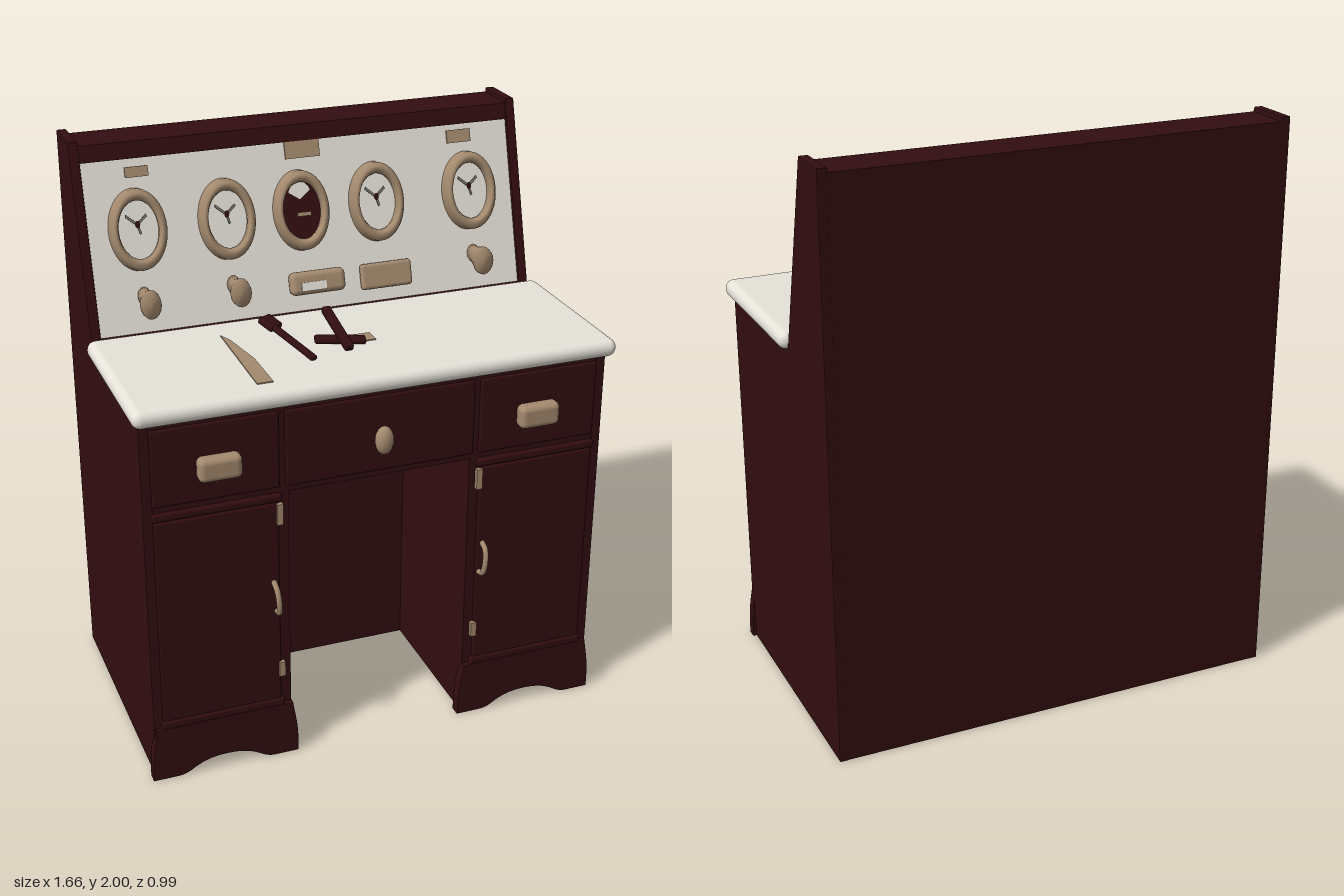
import * as THREE from 'three';
import { RoundedBoxGeometry } from 'three/addons/geometries/RoundedBoxGeometry.js';

const mat = (name, color, side = THREE.FrontSide) => {
  const m = new THREE.MeshStandardMaterial({ color, side });
  m.name = name;
  return m;
};

export function createModel() {
  const root = new THREE.Group();
  root.name = 'controlDesk';
  const wood = mat('dark red wood', 0x320d10);
  const cream = mat('cream enamel', 0xe6e2d9);
  const tan = mat('tan brass', 0xa48a6e);
  const grey = mat('grey marking', 0x77736c);

  const add = (parent, name, geo, material, x = 0, y = 0, z = 0) => {
    const m = new THREE.Mesh(geo, material);
    m.name = name;
    m.position.set(x, y, z);
    parent.add(m);
    return m;
  };
  // box given by its minimum and maximum corners
  const span = (name, material, x0, x1, y0, y1, z0, z1, r = 0) => {
    const s = [x1 - x0, y1 - y0, z1 - z0];
    const geo = r ? new RoundedBoxGeometry(...s, 4, r) : new THREE.BoxGeometry(...s);
    return add(root, name, geo, material, (x0 + x1) / 2, (y0 + y1) / 2, (z0 + z1) / 2);
  };
  const extrude = (shape, depth, bevel = 0) => new THREE.ExtrudeGeometry(shape, {
    depth, curveSegments: 10, bevelEnabled: bevel > 0,
    bevelThickness: bevel, bevelSize: bevel, bevelOffset: -bevel, bevelSegments: 2,
  });

  // Side walls: full height, sloping back above the worktop
  const profile = new THREE.Shape([
    [-0.45, 0], [0.49, 0], [0.49, 2], [0.325, 2], [0.135, 1.33], [-0.45, 1.33],
  ].map(([a, b]) => new THREE.Vector2(a, b)));
  for (const s of [-1, 1]) {
    const wall = add(root, 'sideWall', extrude(profile, 0.026, 0.004), wood, s * 0.789 - 0.013, 0, 0);
    wall.rotation.y = Math.PI / 2;
  }

  // Upper backing between the walls, topped by a rail
  const backing = new THREE.Shape([
    [0.49, 1.3], [0.49, 1.985], [0.325, 1.985], [0.312, 1.93], [0.328, 1.93], [0.145, 1.3],
  ].map(([a, b]) => new THREE.Vector2(a, b)));
  add(root, 'upperCabinet', extrude(backing, 1.55), wood, -0.775, 0, 0).rotation.y = Math.PI / 2;

  // Lower cabinet: back block, pedestals, drawer row
  span('backBlock', wood, -0.78, 0.78, 0.0, 1.33, -0.489, -0.46);
  span('cabinetCore', wood, -0.78, 0.78, 0.06, 1.33, -0.47, -0.12);
  span('kneeholeFoot', wood, -0.33, 0.33, 0.0, 0.07, -0.15, -0.12);
  span('drawerRow', wood, -0.78, 0.78, 1.01, 1.33, -0.13, 0.445);
  for (const [name, a, b] of [['leftDrawer', 0.35, 0.775], ['middleDrawer', -0.33, 0.33], ['rightDrawer', -0.775, -0.35]])
    span(name, wood, a, b, 1.03, 1.3, 0.43, 0.453, 0.008);

  for (const s of [-1, 1]) {
    const pair = (a, b) => (s > 0 ? [a, b] : [-b, -a]);
    span('pedestal', wood, ...pair(0.32, 0.78), 0.06, 1.02, -0.13, 0.445);
    span('pedestalInnerWall', wood, ...pair(0.32, 0.345), 0, 0.1, -0.13, 0.44);
    span('door', wood, ...pair(0.355, 0.775), 0.22, 0.975, 0.43, 0.453, 0.008);
    span('doorTopMoulding', wood, ...pair(0.345, 0.78), 0.98, 1.01, 0.43, 0.46, 0.01);
    span('doorBottomMoulding', wood, ...pair(0.345, 0.78), 0.19, 0.225, 0.43, 0.46, 0.01);

    // Plinth with flared ends and an arched lower edge
    const p = new THREE.Shape();
    p.moveTo(0.3, 0);
    p.lineTo(0.39, 0);
    p.bezierCurveTo(0.44, 0.0, 0.45, 0.05, 0.56, 0.05);
    p.bezierCurveTo(0.67, 0.05, 0.68, 0.0, 0.73, 0);
    p.lineTo(0.818, 0);
    p.bezierCurveTo(0.82, 0.12, 0.805, 0.15, 0.8, 0.2);
    p.lineTo(0.32, 0.2);
    p.bezierCurveTo(0.315, 0.15, 0.3, 0.13, 0.3, 0);
    const plinth = extrude(p, 0.035, 0.004);
    if (s < 0) plinth.translate(-1.118, 0, 0);
    add(root, 'plinth', plinth, wood, 0, 0, 0.426);

    // Hinges and door pull
    for (const [y, h] of [[0.935, 0.075], [0.342, 0.055]])
      span('hinge', tan, ...pair(0.343, 0.364), y - h / 2, y + h / 2, 0.44, 0.461);
    const x = s * 0.372;
    const pull = new THREE.CatmullRomCurve3([[0.57, 0.445], [0.58, 0.48], [0.625, 0.492], [0.67, 0.48], [0.685, 0.445]]
      .map(([y, z]) => new THREE.Vector3(x + s * (y - 0.625) * 0.08, y, z)));
    add(root, 'doorPull', new THREE.TubeGeometry(pull, 16, 0.01, 8), tan);

    // Drawer pull
    span('drawerPull', tan, s * 0.555 - 0.072, s * 0.555 + 0.072, 1.108, 1.19, 0.44, 0.495, 0.02);
  }
  const drawerKnob = add(root, 'drawerKnob', new THREE.SphereGeometry(1, 16, 12), tan, 0, 1.15, 0.475);
  drawerKnob.scale.set(0.032, 0.05, 0.028);

  // Worktop
  span('worktop', cream, -0.83, 0.83, 1.322, 1.384, -0.135, 0.492, 0.03);

  // Sloping instrument panel; local y runs up the slope, z out of it
  const panel = new THREE.Group();
  panel.name = 'instrumentPanel';
  panel.position.set(0, 1.38, -0.16);
  panel.rotation.x = -0.283;
  root.add(panel);
  const up = (y) => (y - 1.38) / 0.96;
  const plate = (name, x, y, w, h, d, r = 0, material = tan) => add(panel, name,
    r ? new RoundedBoxGeometry(w, h, d, 3, r) : new THREE.BoxGeometry(w, h, d), material, x, up(y), d / 2);
  add(panel, 'panelFace', new THREE.BoxGeometry(1.546, 0.585, 0.02), cream, 0, 0.281, -0.01);

  // Oval gauges
  const bezelProfile = [[0.074, 0], [0.07, 0.03], [0.076, 0.048], [0.088, 0.05], [0.098, 0.035], [0.1, 0]]
    .map(([r, h]) => new THREE.Vector2(r, h));
  const bezelGeo = new THREE.LatheGeometry(bezelProfile.reverse(), 40).rotateX(Math.PI / 2);
  const ringMat = mat('tan brass ring', 0xa48a6e, THREE.DoubleSide);
  for (const x of [-0.605, -0.295, -0.028, 0.25, 0.603]) {
    const gauge = new THREE.Group();
    gauge.name = 'gauge';
    gauge.position.set(x, up(1.702), 0);
    gauge.scale.set(0.98, 1.39, 1);
    panel.add(gauge);
    const dark = x === -0.028;
    add(gauge, 'bezel', bezelGeo, ringMat);
    add(gauge, 'dial', new THREE.CircleGeometry(0.076, 32), dark ? wood : cream, 0, 0, 0.012);
    if (dark) {
      add(gauge, 'dialHighlight', new THREE.CircleGeometry(0.045, 20, 0.5, 2.2), cream, 0, 0.027, 0.014);
      add(gauge, 'dialMark', new THREE.BoxGeometry(0.05, 0.01, 0.004), tan, 0.01, -0.01, 0.016);
    } else {
      [[0.04, 0.55], [0.045, 2.6], [0.025, -1.2]].forEach(([len, a]) => {
        const hand = add(gauge, 'hand', new THREE.BoxGeometry(len, 0.007, 0.004), grey,
          Math.cos(a) * len / 2, 0.012 + Math.sin(a) * len / 2, 0.016);
        hand.rotation.z = a;
      });
      add(gauge, 'handHub', new THREE.CircleGeometry(0.009, 12), wood, 0, 0.012, 0.02);
    }
  }

  // Knobs standing straight out below the gauges
  const knobGeo = new THREE.LatheGeometry([[0, 0], [0.022, 0], [0.024, 0.04], [0.036, 0.085], [0.034, 0.105], [0, 0.11]]
    .map(([r, h]) => new THREE.Vector2(r, h)), 16).rotateX(Math.PI / 2);
  for (const x of [-0.607, -0.293, 0.605])
    add(root, 'panelKnob', knobGeo, tan, x, 1.488, -0.195).scale.set(1, 1.4, 1);

  // Plaques and label plates
  plate('handlePlate', 0, 1.463, 0.2, 0.08, 0.05, 0.02);
  plate('handleInset', -0.02, 1.452, 0.09, 0.03, 0.054, 0, cream);
  plate('lowerPlaque', 0.26, 1.455, 0.19, 0.09, 0.03, 0.012);
  plate('labelPlate', -0.585, 1.885, 0.08, 0.035, 0.006);
  plate('labelPlate', 0, 1.9, 0.125, 0.058, 0.006);
  plate('labelPlate', 0.585, 1.888, 0.09, 0.045, 0.006);

  // Ruler and small scrap lying on the worktop
  const ruler = new THREE.Shape([[-0.407, -0.41], [-0.353, -0.41], [-0.353, -0.22], [-0.38, -0.05], [-0.4, 0.005]]
    .map(([a, b]) => new THREE.Vector2(a, b)));
  add(root, 'ruler', extrude(ruler, 0.005), tan, 0, 1.383, 0).rotation.x = -Math.PI / 2;
  span('scrap', tan, -0.03, 0.075, 1.382, 1.388, 0.145, 0.205);

  // Leaning dark tools, each stretched between two points
  const tool = (from, to, w, h) => {
    const a = new THREE.Vector3(...from), b = new THREE.Vector3(...to);
    const m = add(root, 'tool', new RoundedBoxGeometry(w, h, a.distanceTo(b), 2, 0.008), wood);
    m.position.copy(a).add(b).multiplyScalar(0.5);
    m.lookAt(b);
  };
  tool([-0.175, 1.392, 0.3], [-0.255, 1.44, 0.07], 0.026, 0.018);
  tool([-0.235, 1.43, 0.1], [-0.265, 1.45, 0.045], 0.055, 0.024);
  tool([-0.05, 1.405, 0.29], [-0.06, 1.47, 0.085], 0.032, 0.026);
  tool([-0.13, 1.402, 0.17], [0.035, 1.395, 0.215], 0.045, 0.02);

  return root;
}
